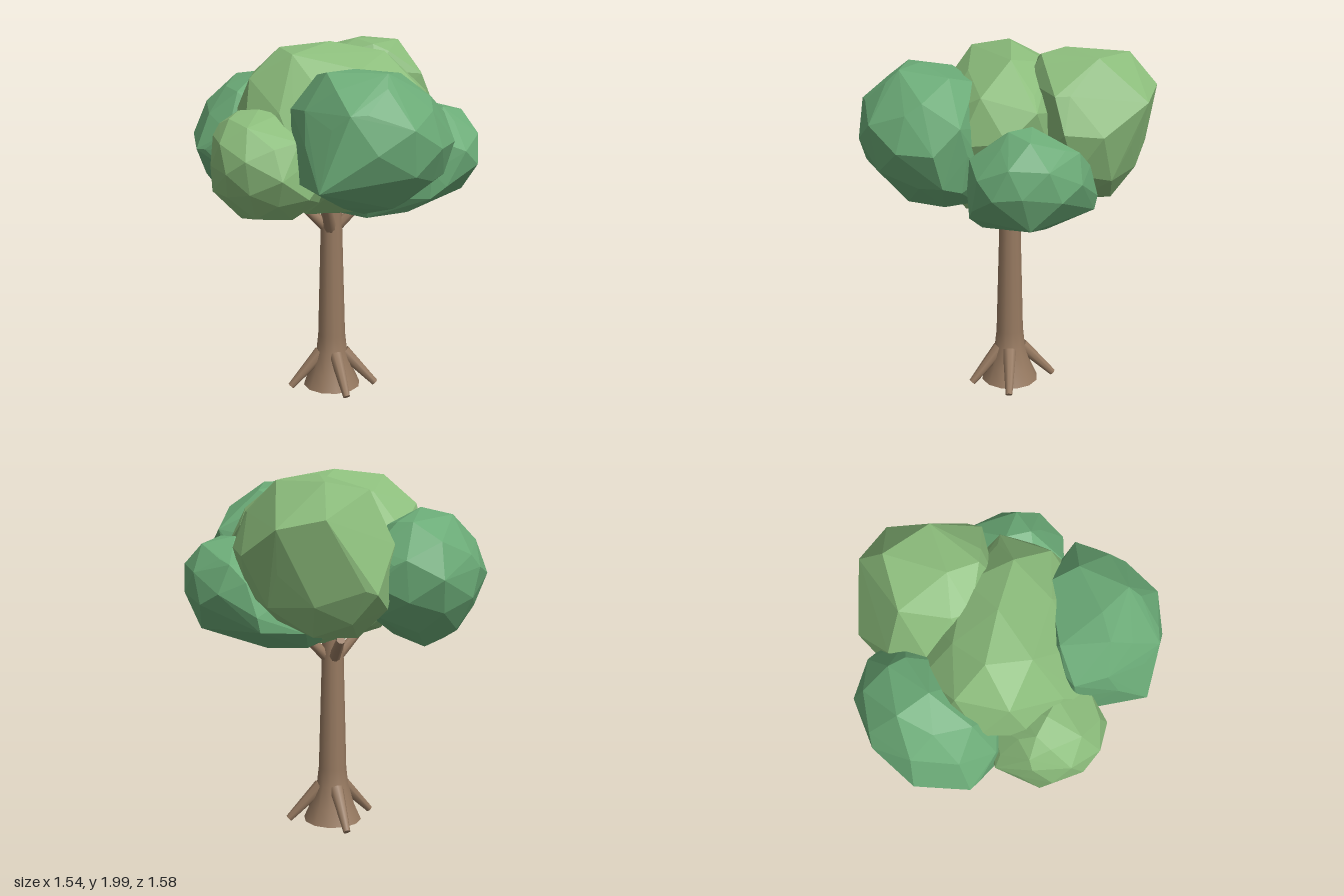
import * as THREE from 'three';
import { ConvexGeometry } from 'three/addons/geometries/ConvexGeometry.js';

const bark = new THREE.MeshStandardMaterial({ color: 0x967960 });
const darkLeaf = new THREE.MeshStandardMaterial({ color: 0x6bab77, flatShading: true });
const lightLeaf = new THREE.MeshStandardMaterial({ color: 0x8bbc7b, flatShading: true });
const trunkX = -0.035, trunkZ = -0.045;

// Repeatable 0..1 value for a corner
function hash(v, seed) {
  const q = (n) => Math.round(n * 100);
  const s = Math.sin(q(v.x) * 12.99 + q(v.y) * 78.23 + q(v.z) * 37.72 + seed * 11.13) * 43758.55;
  return s - Math.floor(s);
}

// Faceted leaf clump: an icosphere pulled out to six tips (left, right, top,
// bottom, front, back), then wrapped together with a few jutting corners
function leafClump(name, material, seed, centre, tips, corners) {
  const pos = new THREE.IcosahedronGeometry(1, 1).attributes.position;
  const origin = new THREE.Vector3(...centre);
  const arms = tips.map((t) => new THREE.Vector3(...t).sub(origin));
  const points = corners.map((c) => new THREE.Vector3(...c));
  const v = new THREE.Vector3();
  for (let i = 0; i < pos.count; i++) {
    v.fromBufferAttribute(pos, i);
    const onAxis = Math.max(Math.abs(v.x), Math.abs(v.y), Math.abs(v.z)) > 0.99;
    const swell = onAxis ? 1 : 0.91 + 0.1 * hash(v, seed);
    const p = origin.clone();
    v.toArray().forEach((c, axis) => {
      p.addScaledVector(arms[axis * 2 + (c > 0 ? 0 : 1)], Math.abs(c) * swell);
    });
    points.push(p);
  }
  const mesh = new THREE.Mesh(new ConvexGeometry(points), material);
  mesh.name = name;
  return mesh;
}

// Tapered limb between two points
function limb(name, from, to, r0, r1) {
  const a = new THREE.Vector3(...from), b = new THREE.Vector3(...to);
  const dir = b.clone().sub(a);
  const mesh = new THREE.Mesh(new THREE.CylinderGeometry(r1, r0, dir.length(), 8), bark);
  mesh.position.copy(a).add(b).multiplyScalar(0.5);
  mesh.quaternion.setFromUnitVectors(new THREE.Vector3(0, 1, 0), dir.normalize());
  mesh.name = name;
  return mesh;
}

export function createModel() {
  const tree = new THREE.Group();
  tree.name = 'tree';

  // Trunk with flared foot
  const profile = [[0.165, 0.01], [0.125, 0.1], [0.09, 0.22], [0.079, 0.32], [0.062, 0.95], [0.058, 1.15]];
  const trunk = new THREE.Mesh(
    new THREE.LatheGeometry(profile.map(([r, y]) => new THREE.Vector2(r, y)), 12), bark);
  trunk.position.set(trunkX, 0, trunkZ);
  trunk.name = 'trunk';
  const base = new THREE.Mesh(new THREE.CircleGeometry(0.165, 12).rotateX(Math.PI / 2), bark);
  base.position.set(trunkX, 0.01, trunkZ);
  base.name = 'trunkBase';
  tree.add(trunk, base);

  // Four roots, offset from the trunk axis
  const roots = new THREE.Group();
  roots.name = 'roots';
  for (const [x, z] of [[0.245, 0.06], [0.045, 0.235], [-0.245, 0.03], [0.02, -0.255]]) {
    roots.add(limb('root',
      [trunkX + x * 0.27, 0.21, trunkZ + z * 0.27],
      [trunkX + x, 0.02, trunkZ + z], 0.04, 0.02));
  }
  tree.add(roots);

  // Branches reaching into the leaves
  const branches = new THREE.Group();
  branches.name = 'branches';
  for (const [x, y, z] of [[-0.09, 1.24, 0.24], [0.16, 1.09, 0.01], [-0.16, 1.09, 0.01], [0.02, 1.09, -0.16]]) {
    branches.add(limb('branch', [trunkX + x * 0.1, 0.95, trunkZ + z * 0.1], [trunkX + x, y, trunkZ + z], 0.035, 0.024));
  }
  tree.add(branches);

  // Crown
  const crown = new THREE.Group();
  crown.name = 'crown';
  crown.add(
    leafClump('centreLeaves', lightLeaf, 1, [-0.02, 1.53, -0.02],
      [[0.53, 1.58, 0.1], [-0.55, 1.62, -0.13], [-0.04, 2.0, -0.05],
        [-0.02, 1.04, -0.04], [-0.12, 1.47, 0.44], [0, 1.5, -0.44]],
      [[-0.27, 1.95, 0.12], [-0.48, 1.77, -0.12], [-0.31, 1.5, 0.42], [0.5, 1.72, -0.06],
        [-0.2, 1.08, 0.1], [-0.3, 1.12, -0.1], [0.15, 1.07, -0.12], [0.34, 1.8, 0.11]]),
    leafClump('frontLeaves', darkLeaf, 2, [0.1, 1.54, 0.42],
      [[0.52, 1.53, 0.47], [-0.31, 1.55, 0.36], [0.0, 1.91, 0.45],
        [0.07, 1.13, 0.34], [0.05, 1.53, 0.79], [0.13, 1.5, 0.08]],
      [[-0.15, 1.9, 0.49], [0.14, 1.9, 0.58], [0.26, 1.87, 0.34], [-0.31, 1.7, 0.33],
        [-0.23, 1.34, 0.73], [-0.08, 1.72, 0.75], [0.38, 1.77, 0.5], [0.5, 1.66, 0.33],
        [-0.16, 1.86, 0.25], [0.19, 1.83, 0.19], [0.48, 1.35, 0.42], [-0.31, 1.33, 0.36], [0.38, 1.45, 0.6]]),
    leafClump('backLeftLeaves', lightLeaf, 3, [0.19, 1.6, -0.43],
      [[0.6, 1.6, -0.38], [-0.22, 1.56, -0.34], [0.15, 1.99, -0.3],
        [0.2, 1.17, -0.36], [0.24, 1.63, -0.1], [0.1, 1.45, -0.78]],
      [[0.04, 1.43, -0.79], [0.25, 1.97, -0.62], [0.42, 1.97, -0.4], [0.3, 1.8, -0.76],
        [0.51, 1.75, -0.64], [-0.03, 1.92, -0.53], [0.5, 1.8, -0.15], [0.58, 1.62, -0.18],
        [-0.02, 1.9, -0.18], [0.22, 1.97, -0.15], [-0.14, 1.65, -0.6]]),
    leafClump('backRightLeaves', darkLeaf, 4, [-0.38, 1.43, -0.37],
      [[0.02, 1.42, -0.4], [-0.77, 1.43, -0.32], [-0.4, 1.81, -0.37],
        [-0.44, 1.08, -0.4], [-0.42, 1.4, 0.02], [-0.33, 1.48, -0.78]],
      [[-0.77, 1.45, -0.45], [-0.77, 1.41, -0.17], [-0.6, 1.52, -0.66], [-0.51, 1.78, -0.52],
        [-0.1, 1.55, -0.67], [-0.62, 1.68, -0.29], [-0.56, 1.09, -0.36], [-0.2, 1.75, -0.5],
        [-0.54, 1.4, 0.0], [-0.36, 1.09, -0.52]]),
    leafClump('frontRightLeaves', lightLeaf, 5, [-0.4, 1.39, 0.2],
      [[-0.08, 1.33, 0.2], [-0.72, 1.4, 0.24], [-0.46, 1.68, 0.2],
        [-0.42, 1.08, 0.18], [-0.38, 1.36, 0.52], [-0.45, 1.4, -0.12]],
      [[-0.56, 1.67, 0.15], [-0.36, 1.66, 0.25], [-0.65, 1.4, -0.05], [-0.6, 1.4, 0.42],
        [-0.56, 1.09, 0.16], [-0.66, 1.6, 0.12], [-0.71, 1.25, 0.18], [-0.28, 1.54, 0.42]]),
    leafClump('leftLeaves', darkLeaf, 6, [0.42, 1.35, -0.04],
      [[0.76, 1.36, 0.06], [0.02, 1.28, -0.05], [0.52, 1.66, -0.03],
        [0.18, 1.04, 0.0], [0.45, 1.33, 0.29], [0.52, 1.28, -0.38]],
      [[0.77, 1.36, 0.08], [0.73, 1.52, -0.05], [0.7, 1.17, 0.02], [0.47, 1.5, 0.28],
        [0.62, 1.54, -0.25], [0.45, 1.18, 0.28], [0.45, 1.1, -0.05], [0.5, 1.2, -0.37],
        [0.56, 1.65, 0.1], [0.13, 1.05, 0.13], [0.58, 1.35, 0.24]]),
  );
  tree.add(crown);
  return tree;
}
